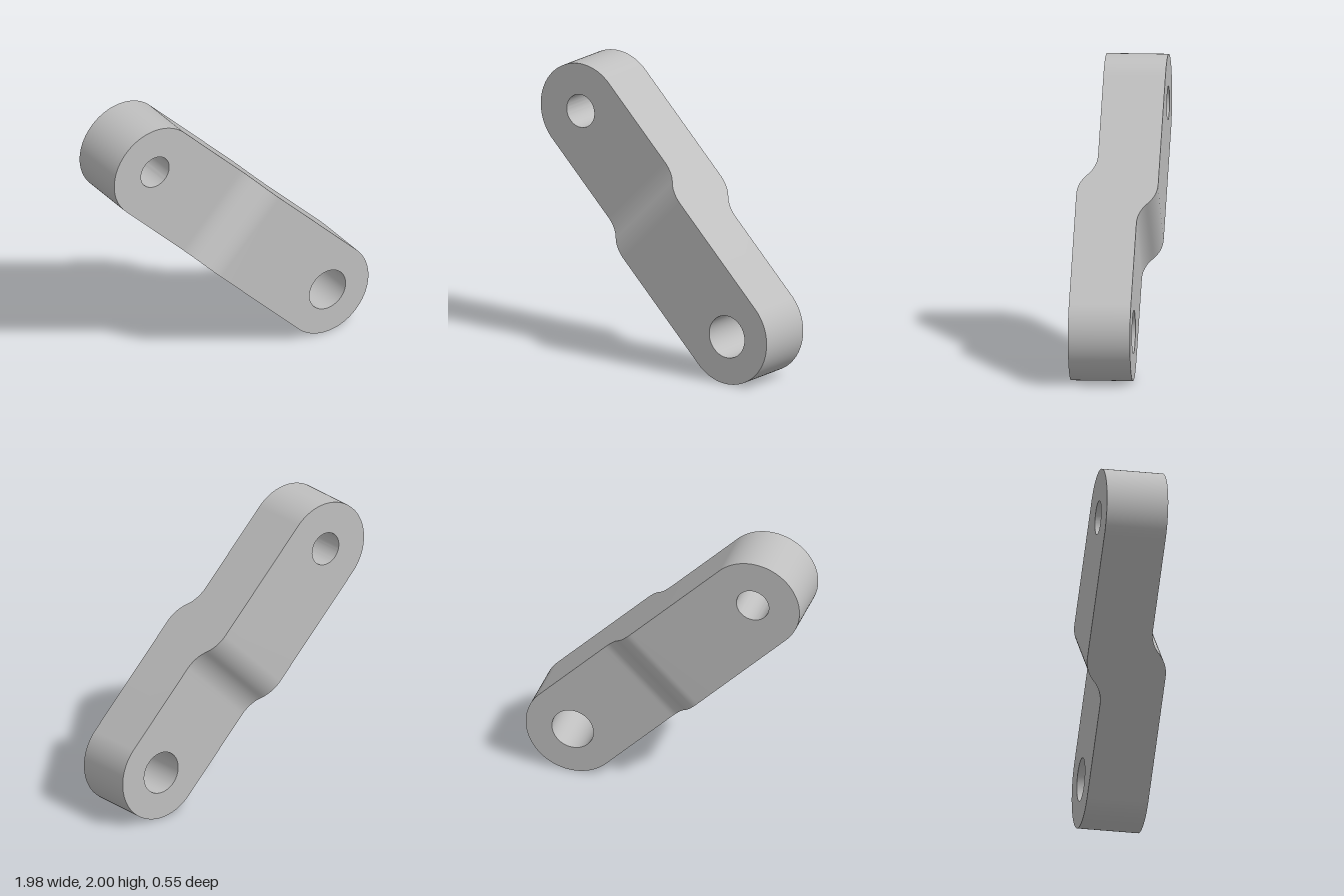
import * as THREE from 'three';
import { mergeGeometries, toCreasedNormals } from 'three/addons/utils/BufferGeometryUtils.js';

const DX = 0.658, DY = 0.668, R = 0.332; // half spacing of the holes, end radius
const HALF = Math.hypot(DX, DY);
const JOIN = 0.32;                       // where the stepped middle meets the flat ends
const LOW = 0.145, HIGH = 0.275;         // face depths on either side of the step
const STEP = 0.115, STEP_HALF = 0.16;    // step centre offset and half length

// Drop the triangles for which test(x, y, z) holds at all three corners
function dropFaces(geometry, test) {
  const g = geometry.index ? geometry.toNonIndexed() : geometry;
  const p = g.attributes.position, kept = [];
  for (let i = 0; i < p.count; i += 3) {
    const tri = [i, i + 1, i + 2];
    if (tri.every(k => test(p.getX(k), p.getY(k), p.getZ(k)))) continue;
    for (const k of tri) kept.push(p.getX(k), p.getY(k), p.getZ(k));
  }
  const out = new THREE.BufferGeometry();
  out.setAttribute('position', new THREE.Float32BufferAttribute(kept, 3));
  return out;
}

const onJoin = x => Math.abs(Math.abs(x) - JOIN) < 1e-5;

// Flat rounded end with its bore, open towards the middle
function endGeometry(bore, zBack) {
  const shape = new THREE.Shape();
  shape.moveTo(JOIN, -R);
  shape.lineTo(HALF, -R);
  shape.absarc(HALF, 0, R, -Math.PI / 2, Math.PI / 2, false);
  shape.lineTo(JOIN, R);
  shape.closePath();
  shape.holes.push(new THREE.Path().absarc(HALF, 0, bore, 0, Math.PI * 2, true));
  const g = new THREE.ExtrudeGeometry(shape, { depth: LOW + HIGH, bevelEnabled: false, curveSegments: 40 });
  g.translate(0, 0, zBack);
  return dropFaces(g, onJoin);
}

// S-curve of two equal arcs, rising from z0 to z1 around the centre
function stepPoints(centre, z0, z1) {
  const h = (z1 - z0) / 2, r = (STEP_HALF ** 2 + h * h) / (2 * h);
  const points = [];
  for (let i = -12; i <= 12; i++) {
    const t = STEP_HALF * i / 12, d = STEP_HALF - Math.abs(t);
    const rise = r - Math.sqrt(r * r - d * d);
    points.push(new THREE.Vector2(centre + t, t < 0 ? z0 + rise : z1 - rise));
  }
  return points;
}

// Stepped middle: side profile swept across the width
function middleGeometry() {
  const profile = [
    new THREE.Vector2(-JOIN, -HIGH),
    ...stepPoints(STEP, -HIGH, -LOW),
    new THREE.Vector2(JOIN, -LOW),
    new THREE.Vector2(JOIN, HIGH),
    ...stepPoints(-STEP, LOW, HIGH).reverse(),
    new THREE.Vector2(-JOIN, LOW),
  ];
  const g = new THREE.ExtrudeGeometry(new THREE.Shape(profile), { depth: 2 * R, bevelEnabled: false });
  g.translate(0, 0, -R);
  g.rotateX(Math.PI / 2);
  return dropFaces(g, onJoin);
}

export function createModel() {
  const steel = new THREE.MeshStandardMaterial({ color: 0xbfbfbf });
  steel.name = 'light grey metal';

  const geometry = toCreasedNormals(mergeGeometries([
    endGeometry(0.115, -HIGH).rotateZ(Math.PI), // upper end, small bore
    middleGeometry(),
    endGeometry(0.147, -LOW),                   // lower end, large bore
  ]), 0.5);

  const arm = new THREE.Mesh(geometry, steel);
  arm.name = 'offsetLinkArm';
  arm.rotation.z = -Math.atan2(DY, DX);
  arm.position.y = 1;

  const group = new THREE.Group();
  group.name = 'offsetLink';
  group.add(arm);
  return group;
}
